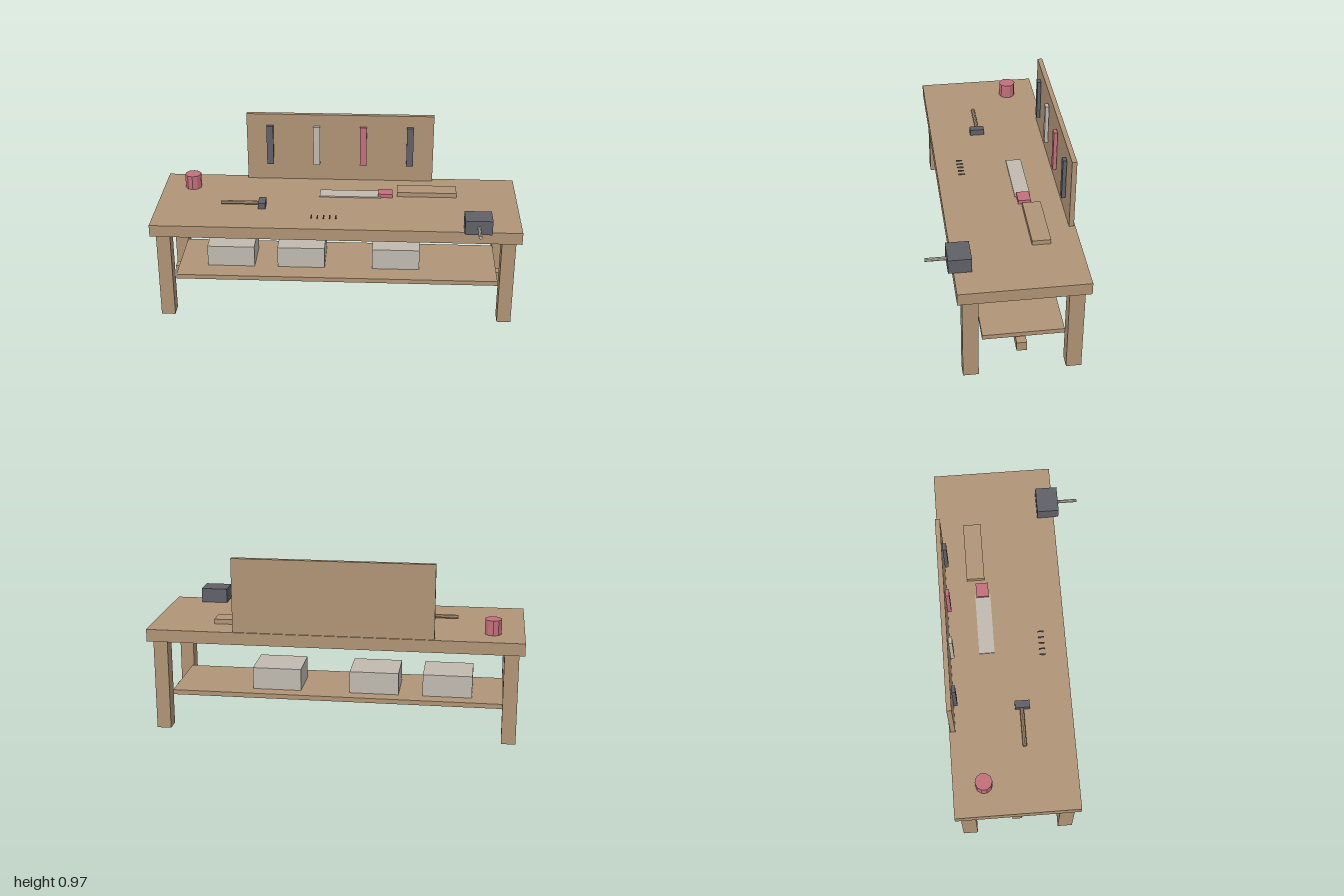
import * as THREE from 'three';

export function createModel() {
  const model = new THREE.Group();
  model.name = 'workbench';
  const material = (name, color, flatShading = false) => {
    const m = new THREE.MeshStandardMaterial({ color });
    m.name = name;
    m.flatShading = flatShading;
    return m;
  };
  const wood = material('wood', 0xb09476, true);
  const dark = material('darkSteel', 0x606167, true);
  const light = material('paleMetal', 0xc0bab0, true);
  const red = material('redPaint', 0xc2707b, true);

  const add = (name, geometry, mat, x, y, z) => {
    const mesh = new THREE.Mesh(geometry, mat);
    mesh.name = name;
    mesh.position.set(x, y, z);
    model.add(mesh);
    return mesh;
  };
  // Box given by its limits on each axis
  const box = (name, mat, [x0, x1], [y0, y1], [z0, z1]) =>
    add(name, new THREE.BoxGeometry(x1 - x0, y1 - y0, z1 - z0), mat,
      (x0 + x1) / 2, (y0 + y1) / 2, (z0 + z1) / 2);

  const top = 0.567;
  const shelfTop = 0.193;

  // Bench frame
  box('tabletop', wood, [-1, 1], [0.5, top], [-0.4, 0.267]);
  for (const side of [-1, 1]) {
    const x = side * 0.933;
    box('frontLeg', wood, [x - 0.038, x + 0.038], [0, 0.5], [0.16, 0.241]);
    box('backLeg', wood, [x - 0.038, x + 0.038], [0, 0.5], [-0.373, -0.293]);
  }
  box('shelf', wood, [-0.897, 0.897], [0.167, shelfTop], [-0.293, 0.133]);
  box('stretcher', wood, [-0.93, 0.93], [0.1, 0.153], [-0.093, -0.04]);

  // Storage bins on the shelf
  for (const x of [-0.6, -0.203, 0.331])
    box('storageBin', light, [x - 0.133, x + 0.133], [shelfTop, 0.314], [-0.217, 0.017]);

  // Back board with hanging tools
  box('toolBoard', wood, [-0.533, 0.533], [top, 0.967], [-0.393, -0.367]);
  [dark, light, red, dark].forEach((mat, i) => {
    const x = -0.4 + i * 0.2667;
    box('hangingTool', mat, [x - 0.019, x + 0.019], [0.667, 0.9], [-0.364, -0.344]);
  });

  // Vise with its screw
  box('viseBody', dark, [0.69, 0.836], [top, 0.647], [0.174, 0.294]);
  add('viseScrew', new THREE.CylinderGeometry(0.0095, 0.0095, 0.133, 8), light,
    0.764, 0.607, 0.336).rotation.x = Math.PI / 2;

  // Hammer
  add('hammerHandle', new THREE.CylinderGeometry(0.011, 0.011, 0.22, 8), wood,
    -0.533, 0.584, -0.004).rotation.z = Math.PI / 2;
  box('hammerHead', dark, [-0.435, -0.395], [top, 0.601], [-0.04, 0.04]);

  // Saw
  box('sawBlade', light, [-0.104, 0.24], [top, 0.574], [-0.21, -0.126]);
  box('sawHandle', red, [0.225, 0.305], [top, 0.588], [-0.203, -0.135]);

  // Timber offcut, tin and nails
  box('timberOffcut', wood, [0.331, 0.664], [top, 0.593], [-0.25, -0.152]);
  add('tin', new THREE.CylinderGeometry(0.046, 0.046, 0.08, 10), red, -0.833, 0.607, -0.235);
  for (let i = 0; i < 5; i++)
    add('nail', new THREE.CylinderGeometry(0.004, 0.004, 0.034, 6), dark,
      -0.134 + i * 0.0333, 0.574, 0.134).rotation.x = Math.PI / 2;

  return model;
}
